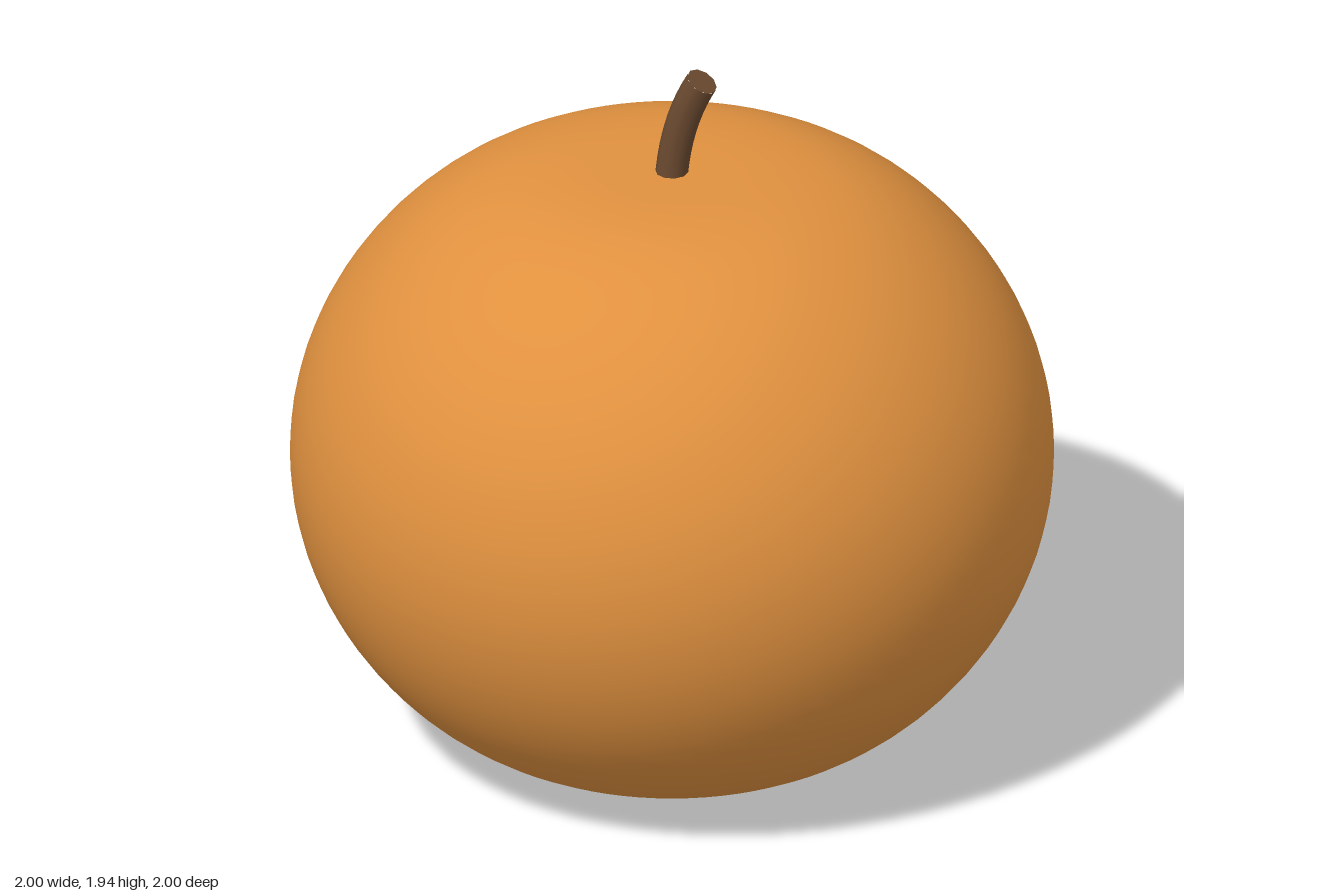
import * as THREE from 'three';

export function createModel() {
  const group = new THREE.Group();
  const orange = new THREE.MeshStandardMaterial({ color: 0xe0913f });
  orange.name = 'orange skin';
  const brown = new THREE.MeshStandardMaterial({ color: 0x6b4a30 });
  brown.name = 'brown stem';

  // Fruit body: a squat round profile whose poles are pressed flat
  const rings = 48;
  const profile = [];
  for (let i = 0; i <= rings; i++) {
    const a = (i / rings) * Math.PI;
    const c = -Math.cos(a);
    const y = 0.9 * c * (1 - 0.09 * Math.pow(Math.abs(c), 12));
    const r = i === 0 || i === rings ? 0 : Math.sin(a);
    profile.push(new THREE.Vector2(r, 0.82 + y));
  }
  const body = new THREE.Mesh(new THREE.LatheGeometry(profile, 80), orange);
  body.name = 'fruitBody';
  group.add(body);

  // Stem: a short tube curving towards the left
  const curve = new THREE.QuadraticBezierCurve3(
    new THREE.Vector3(-0.003, 1.61, 0),
    new THREE.Vector3(0.01, 1.79, 0),
    new THREE.Vector3(0.088, 1.923, 0)
  );
  const radius = 0.043;
  const sides = 10;
  const stem = new THREE.Mesh(new THREE.TubeGeometry(curve, 10, radius, sides, false), brown);
  stem.name = 'stem';
  group.add(stem);

  // Flat cut end of the stem
  const cut = new THREE.Mesh(new THREE.CircleGeometry(radius, sides), brown);
  cut.name = 'stemCut';
  cut.position.copy(curve.getPoint(1));
  cut.quaternion.setFromUnitVectors(new THREE.Vector3(0, 0, 1), curve.getTangent(1));
  group.add(cut);

  return group;
}
